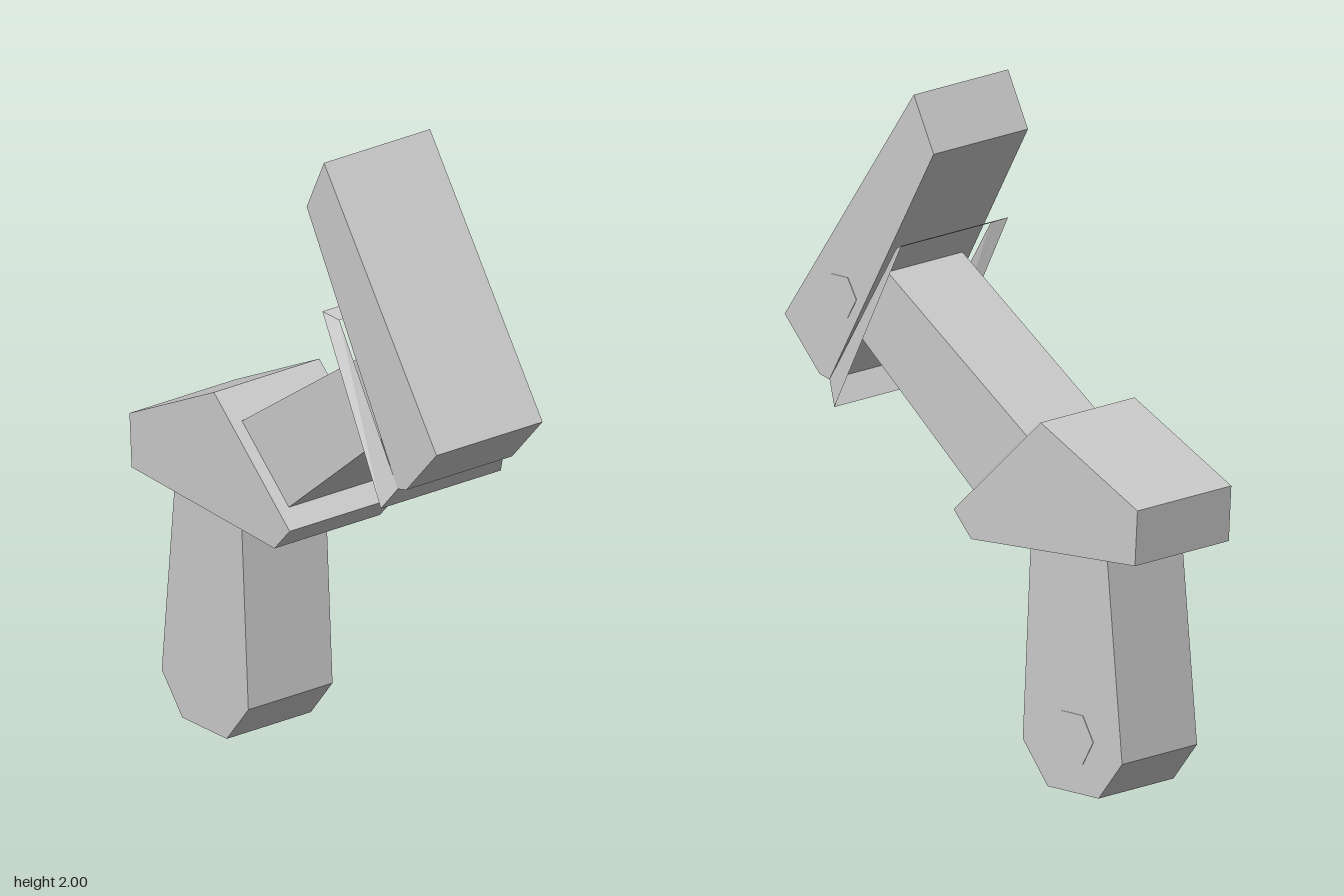
import * as THREE from 'three';

const material = new THREE.MeshStandardMaterial({ color: 0xcccccc, flatShading: true });
const openMaterial = new THREE.MeshStandardMaterial({ color: 0xcccccc, flatShading: true, side: THREE.DoubleSide });

// Side profile of [z, y] points, extruded symmetrically across x
function slab(name, halfWidth, points) {
  const shape = new THREE.Shape(points.map(([z, y]) => new THREE.Vector2(z, y)));
  const geometry = new THREE.ExtrudeGeometry(shape, { depth: halfWidth * 2, bevelEnabled: false });
  geometry.translate(0, 0, -halfWidth).rotateY(-Math.PI / 2);
  const mesh = new THREE.Mesh(geometry, material);
  mesh.name = name;
  return mesh;
}

// Open four-sided collar between two rectangles, each given as half width and two [z, y] ends
function collar(name, inner, outer) {
  const ring = ({ half, top, bottom }) => [
    [half, top[1], top[0]], [-half, top[1], top[0]],
    [-half, bottom[1], bottom[0]], [half, bottom[1], bottom[0]],
  ];
  const a = ring(inner), b = ring(outer), positions = [];
  for (let i = 0; i < 4; i++) {
    const j = (i + 1) % 4;
    for (const p of [a[i], a[j], b[j], a[i], b[j], b[i]]) positions.push(...p);
  }
  const geometry = new THREE.BufferGeometry();
  geometry.setAttribute('position', new THREE.Float32BufferAttribute(positions, 3));
  geometry.computeVertexNormals();
  const mesh = new THREE.Mesh(geometry, openMaterial);
  mesh.name = name;
  return mesh;
}

// Six-sided pin whose end sits almost flush with the left face
function pin(name, radius, faceX, y, z) {
  const geometry = new THREE.CylinderGeometry(radius, radius, 0.06, 6).rotateZ(-Math.PI / 2);
  const mesh = new THREE.Mesh(geometry, material);
  mesh.name = name;
  mesh.position.set(faceX - 0.028, y, z);
  return mesh;
}

export function createModel() {
  const model = new THREE.Group();
  model.name = 'jointedLimb';
  model.add(
    // Lower post with a chamfered end
    slab('lowerPost', 0.158, [
      [-0.245, 0.78], [-0.21, 0.125], [-0.31, 0], [-0.515, 0], [-0.61, 0.12], [-0.545, 0.78],
    ]),
    // Wedge-shaped joint block
    slab('jointBlock', 0.198, [
      [-0.32, 1.105], [-0.71, 0.91], [-0.7, 0.742], [-0.04, 0.703], [0.03, 0.78],
    ]),
    // Tapering arm, running into the block and the head
    slab('arm', 0.158, [
      [0.34, 1.435], [-0.29, 0.995], [-0.06, 0.797], [0.435, 1.21],
    ]),
    // Long slanted head
    slab('head', 0.199, [
      [0.19, 2], [0.71, 1.245], [0.57, 1.09], [0.53, 1.08], [0.11, 1.835],
    ]),
    // Flared collar under the head
    collar('collar',
      { half: 0.198, top: [0.26, 1.525], bottom: [0.53, 1.08] },
      { half: 0.225, top: [0.215, 1.545], bottom: [0.485, 1.01] }),
    pin('lowerPin', 0.085, 0.158, 0.165, -0.41),
    pin('headPin', 0.07, 0.199, 1.34, 0.49),
  );
  return model;
}
